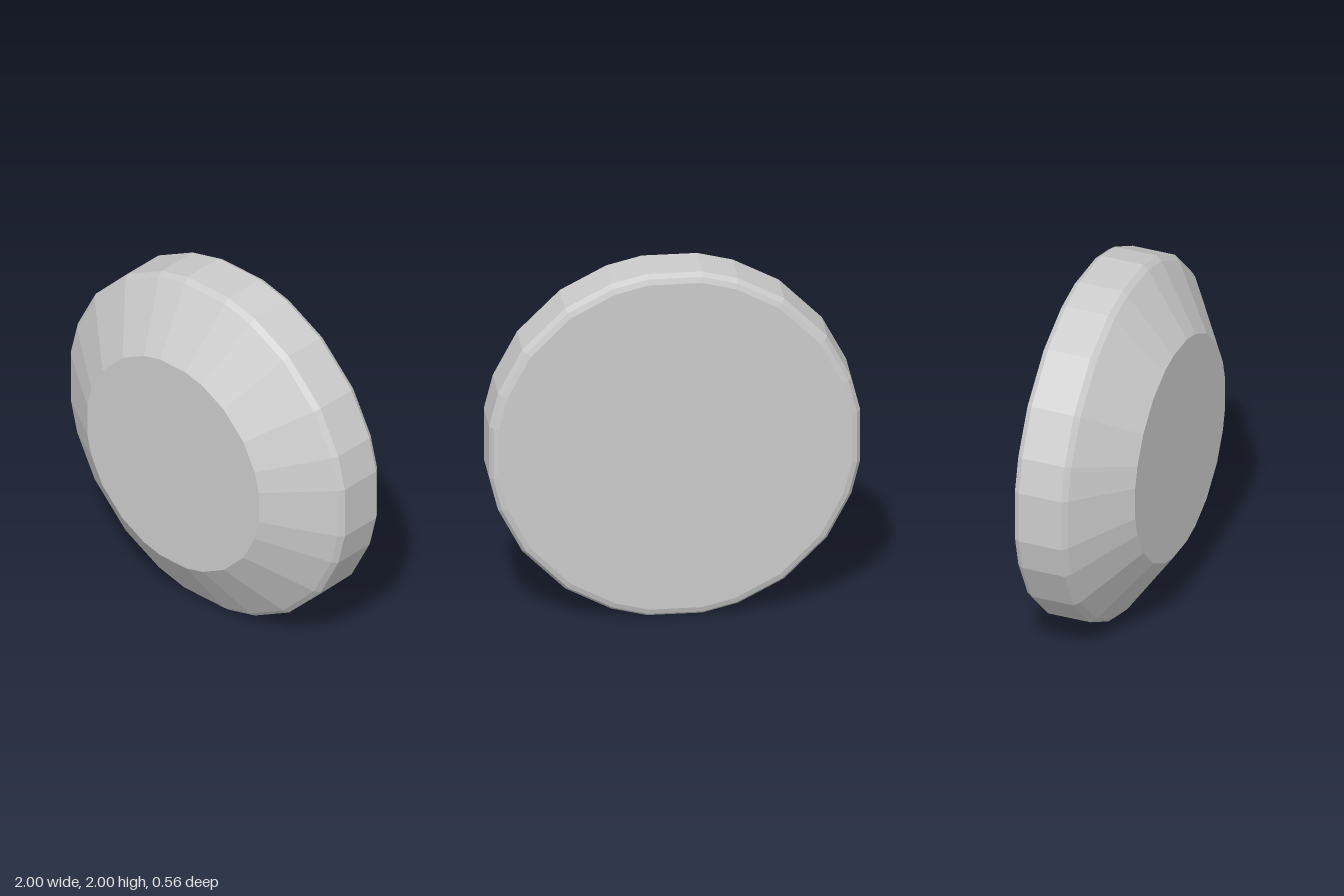
import * as THREE from 'three';

// Uneven corner angles (degrees) within each quarter turn: 24 sides in all
const QUARTER = [8.5, 19.7, 35.7, 54.3, 70.3, 81.5];

// Radius and depth, from the back centre round the rim to the front centre
const PROFILE = [
  [0, -0.28], [0.96, -0.28], [0.99, -0.27], [1.01, -0.24],
  [1.01, 0.005], [0.985, 0.035], [0.633, 0.28], [0, 0.28],
];

export function createModel() {
  const group = new THREE.Group();
  group.name = 'bevelledDisc';

  const sides = QUARTER.length * 4;
  const points = PROFILE.map(([r, d]) => new THREE.Vector2(r, d));
  const geometry = new THREE.LatheGeometry(points, sides);

  // Shift each column of the lathe to its uneven angle
  const pos = geometry.attributes.position;
  for (let i = 0; i <= sides; i++) {
    const k = i % sides;
    const degrees = QUARTER[k % 6] + 90 * Math.floor(k / 6);
    const a = THREE.MathUtils.degToRad(degrees);
    PROFILE.forEach(([r, d], j) => {
      pos.setXYZ(i * PROFILE.length + j, r * Math.sin(a), d, r * Math.cos(a));
    });
  }

  // Stand the disc upright, sloped side to the front
  geometry.rotateX(Math.PI / 2);
  geometry.translate(0, 1, 0);
  geometry.computeVertexNormals();

  const disc = new THREE.Mesh(
    geometry,
    new THREE.MeshStandardMaterial({ color: 0xcccccc, flatShading: true })
  );
  disc.name = 'disc';
  group.add(disc);
  return group;
}
